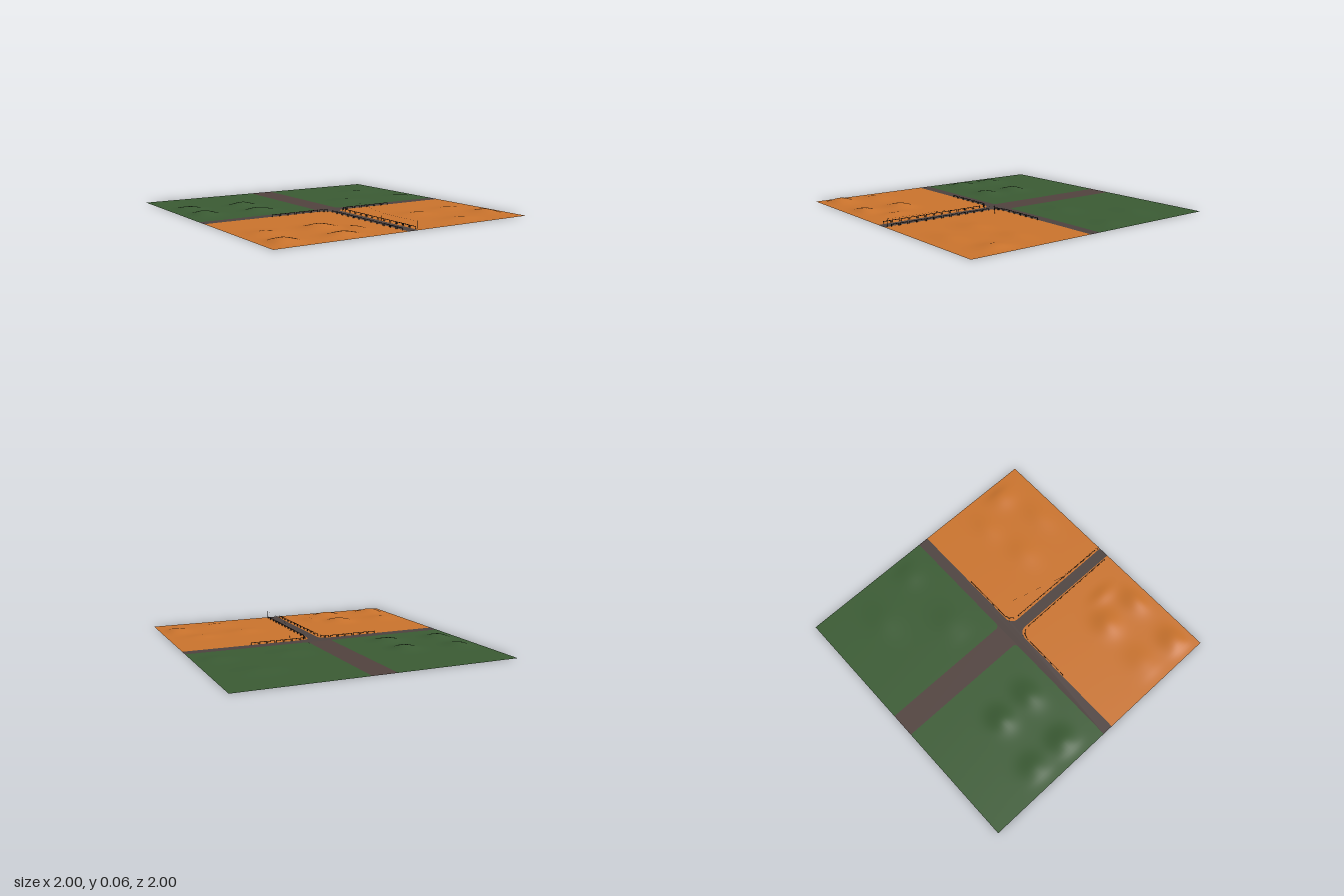
import * as THREE from 'three';

const mat = (name, color, side = THREE.FrontSide) => {
  const m = new THREE.MeshStandardMaterial({ color, side });
  m.name = name;
  return m;
};

// Low hills: x, z, height, x radius, z radius
const HILLS = [
  [-0.86, 0.86, 0.032, 0.1, 0.09], [-0.45, 0.88, 0.028, 0.1, 0.08],
  [-0.44, 0.6, 0.03, 0.1, 0.09], [-0.82, 0.58, 0.016, 0.12, 0.1],
  [-0.25, 0.74, 0.014, 0.06, 0.1],
  [0.4, 0.54, 0.014, 0.12, 0.09], [0.88, 0.74, 0.022, 0.1, 0.1],
  [0.55, 0.84, 0.013, 0.13, 0.08], [0.75, 0.48, 0.012, 0.12, 0.08],
  [-0.85, -0.25, 0.03, 0.09, 0.09], [-0.45, -0.46, 0.03, 0.09, 0.08],
  [-0.45, -0.2, 0.026, 0.1, 0.08], [-0.85, -0.52, 0.022, 0.09, 0.09],
  [0.35, -0.25, 0.011, 0.13, 0.1], [0.7, -0.6, 0.011, 0.14, 0.1],
  [0.85, -0.22, 0.012, 0.1, 0.09],
];

// Height fades to zero on the outer border and beside the roads
function height(x, z) {
  const ax = Math.abs(x);
  const inner = z > 0 ? z - 0.08 : -z;
  const fade = THREE.MathUtils.smoothstep(Math.min(1 - ax, 1 - Math.abs(z)), 0, 0.1)
    * THREE.MathUtils.smoothstep(ax, 0.1, 0.24) * THREE.MathUtils.smoothstep(inner, 0, 0.14);
  let h = 0;
  for (const [hx, hz, a, rx, rz] of HILLS) {
    h += a * Math.exp(-(((x - hx) / rx) ** 2) - ((z - hz) / rz) ** 2);
  }
  return h * fade;
}

// One quarter of the land, its corner by the crossing rounded with radius r
function land(sx, sz, z0, roadHalf, r) {
  const N = 48, F = 8, pos = [], idx = [];
  for (let i = 0; i <= N; i++) {
    let d, edge = roadHalf;
    if (i <= F) {
      const a = (i / F) * Math.PI / 2;
      d = z0 + r - r * Math.cos(a);
      edge = roadHalf + r - r * Math.sin(a);
    } else d = THREE.MathUtils.lerp(z0 + r, 1, (i - F) / (N - F));
    for (let j = 0; j <= N; j++) {
      const x = sx * THREE.MathUtils.lerp(edge, 1, j / N), z = sz * d;
      pos.push(x, height(x, z), z);
      if (i < N && j < N) {
        const a = i * (N + 1) + j, b = a + 1, c = a + N + 1, e = c + 1;
        if (sx * sz > 0) idx.push(a, c, b, b, c, e);
        else idx.push(a, b, c, b, e, c);
      }
    }
  }
  const g = new THREE.BufferGeometry();
  g.setAttribute('position', new THREE.Float32BufferAttribute(pos, 3));
  g.setIndex(idx);
  g.computeVertexNormals();
  return g;
}

// Flat road shape drawn in (x, -z)
function flat(shape) {
  return new THREE.ShapeGeometry(shape, 10).rotateX(-Math.PI / 2);
}

export function createModel() {
  const D = THREE.DoubleSide;
  const M = {
    orange: mat('orange field', 0xc8722c, D),
    green: mat('green field', 0x3a5a33, D),
    asphalt: mat('asphalt', 0x4c413e, D),
    track: mat('brown road', 0x50413d, D),
    iron: mat('dark rail', 0x1e1b19),
  };
  const root = new THREE.Group();
  const add = (name, geo, m, parent = root) => {
    const mesh = new THREE.Mesh(geo, m);
    mesh.name = name;
    parent.add(mesh);
    return mesh;
  };

  // Four fields
  for (const s of [-1, 1]) {
    const side = s > 0 ? 'left' : 'right';
    add(side + 'FrontField', land(s, 1, 0.08, 0.04, 0.06), M.orange);
    add(side + 'BackField', land(s, -1, 0, 0.09, 0.03), M.green);
  }

  // Cross road with the narrow front road, inner corners rounded
  const q = Math.PI / 2;
  const main = new THREE.Shape();
  main.moveTo(-1, 0);
  main.lineTo(-1, -0.08);
  main.lineTo(-0.1, -0.08);
  main.absarc(-0.1, -0.14, 0.06, q, 0, true);
  main.lineTo(-0.04, -1);
  main.lineTo(0.04, -1);
  main.lineTo(0.04, -0.14);
  main.absarc(0.1, -0.14, 0.06, 2 * q, q, true);
  main.lineTo(1, -0.08);
  main.lineTo(1, 0);
  add('crossRoad', flat(main), M.asphalt);

  // Wide back road
  const back = new THREE.Shape();
  back.moveTo(-0.12, 0);
  back.lineTo(0.12, 0);
  back.absarc(0.12, 0.03, 0.03, 3 * q, 2 * q, true);
  back.lineTo(0.09, 1);
  back.lineTo(-0.09, 1);
  back.lineTo(-0.09, 0.03);
  back.absarc(-0.12, 0.03, 0.03, 0, -q, true);
  add('backRoad', flat(back), M.track);

  // A thin bar between two points
  const bar = (name, a, b, h, w, parent) => {
    const m = add(name, new THREE.BoxGeometry(w, h, a.distanceTo(b)), M.iron, parent);
    m.position.copy(a).add(b).multiplyScalar(0.5);
    m.lookAt(b);
  };
  const post = (name, p, h, w, parent) => {
    add(name, new THREE.BoxGeometry(w, h, w), M.iron, parent).position.set(p.x, h / 2, p.z);
  };

  // Guard rails along the front edges of the roads, in short sections
  for (const s of [-1, 1]) {
    const fence = new THREE.Group();
    fence.name = s > 0 ? 'leftGuardRail' : 'rightGuardRail';
    root.add(fence);
    const run = (x0, z0, x1, z1, n) => {
      const a = new THREE.Vector3(s * x0, 0.0145, z0), b = new THREE.Vector3(s * x1, 0.0145, z1);
      for (let i = 0; i < n; i++) {
        const p = a.clone().lerp(b, (i + 0.06) / n), r = a.clone().lerp(b, (i + 0.9) / n);
        bar('rail', p, r, 0.004, 0.0015, fence);
        post('railPost', p, 0.0165, 0.003, fence);
        post('railPost', r, 0.0165, 0.003, fence);
      }
    };
    run(0.5, 0.086, 0.12, 0.086, 6);
    run(0.115, 0.088, 0.085, 0.098, 1);
    run(0.083, 0.1, 0.062, 0.125, 1);
    run(0.056, 0.16, 0.052, 0.96, 12);
  }

  // Utility line beside the front road
  const line = new THREE.Group();
  line.name = 'utilityLine';
  root.add(line);
  const tops = [[0.045, 0.98], [0.05, 0.6], [0.16, 0.19]]
    .map(([x, z]) => new THREE.Vector3(x, 0.053, z));
  tops.forEach((p, i) => {
    post('pole', p, 0.056, 0.0016, line);
    if (!i) return;
    const mid = tops[i - 1].clone().lerp(p, 0.5);
    mid.y -= 0.004;
    const curve = new THREE.QuadraticBezierCurve3(tops[i - 1], mid, p);
    add('wire', new THREE.TubeGeometry(curve, 8, 0.0003, 4), M.iron, line);
  });
  return root;
}
